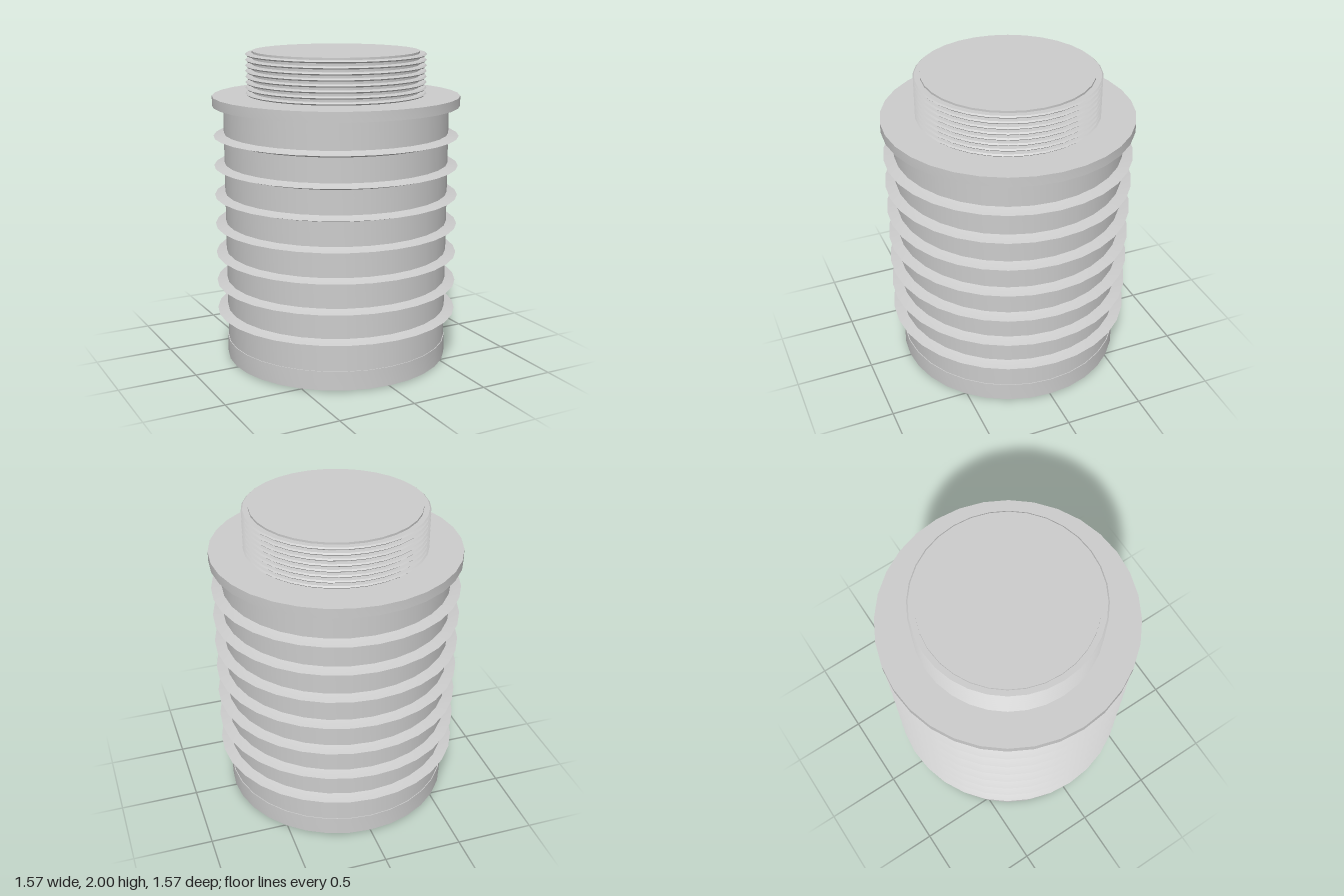
import * as THREE from 'three';
import { toCreasedNormals } from 'three/addons/utils/BufferGeometryUtils.js';

const SIDES = 32;
const material = new THREE.MeshStandardMaterial({ color: 0xcccccc });

// Revolve a [radius, y] profile, listed from bottom to top, with crisp edges
function turned(name, profile, y = 0) {
  const points = profile.map(([r, h]) => new THREE.Vector2(r, h));
  const geometry = toCreasedNormals(new THREE.LatheGeometry(points, SIDES), 0.5);
  const mesh = new THREE.Mesh(geometry, material);
  mesh.name = name;
  mesh.position.y = y;
  return mesh;
}

// Closed disc-shaped section between two heights
const drum = (r, y0, y1) => [[0, y0], [r, y0], [r, y1], [0, y1]];

export function createModel() {
  const model = new THREE.Group();
  model.name = 'ribbedContainer';

  // Base with a shallow raised foot underneath
  model.add(turned('base', [[0, 0], [0.62, 0], [0.62, 0.008], [0.722, 0.008], [0.722, 0.13], [0, 0.13]]));

  // Main barrel, flange and neck
  model.add(turned('body', drum(0.717, 0.13, 1.66)));
  model.add(turned('flange', drum(0.787, 1.66, 1.722)));
  model.add(turned('neck', drum(0.53, 1.722, 2)));

  // Sharp ribs around the barrel
  const ribs = new THREE.Group();
  ribs.name = 'ribs';
  for (let i = 0; i < 7; i++) {
    ribs.add(turned('rib', [[0.71, -0.022], [0.735, -0.012], [0.783, 0], [0.735, 0.012], [0.71, 0.022]], 0.32 + i * 0.1912));
  }
  model.add(ribs);

  // Thin closely spaced thread rings on the neck
  const threads = new THREE.Group();
  threads.name = 'threads';
  for (let i = 0; i < 8; i++) {
    threads.add(turned('threadRing', [[0.525, -0.008], [0.565, -0.008], [0.574, 0], [0.565, 0.008], [0.525, 0.008]], 1.734 + i * 0.035));
  }
  model.add(threads);

  return model;
}
